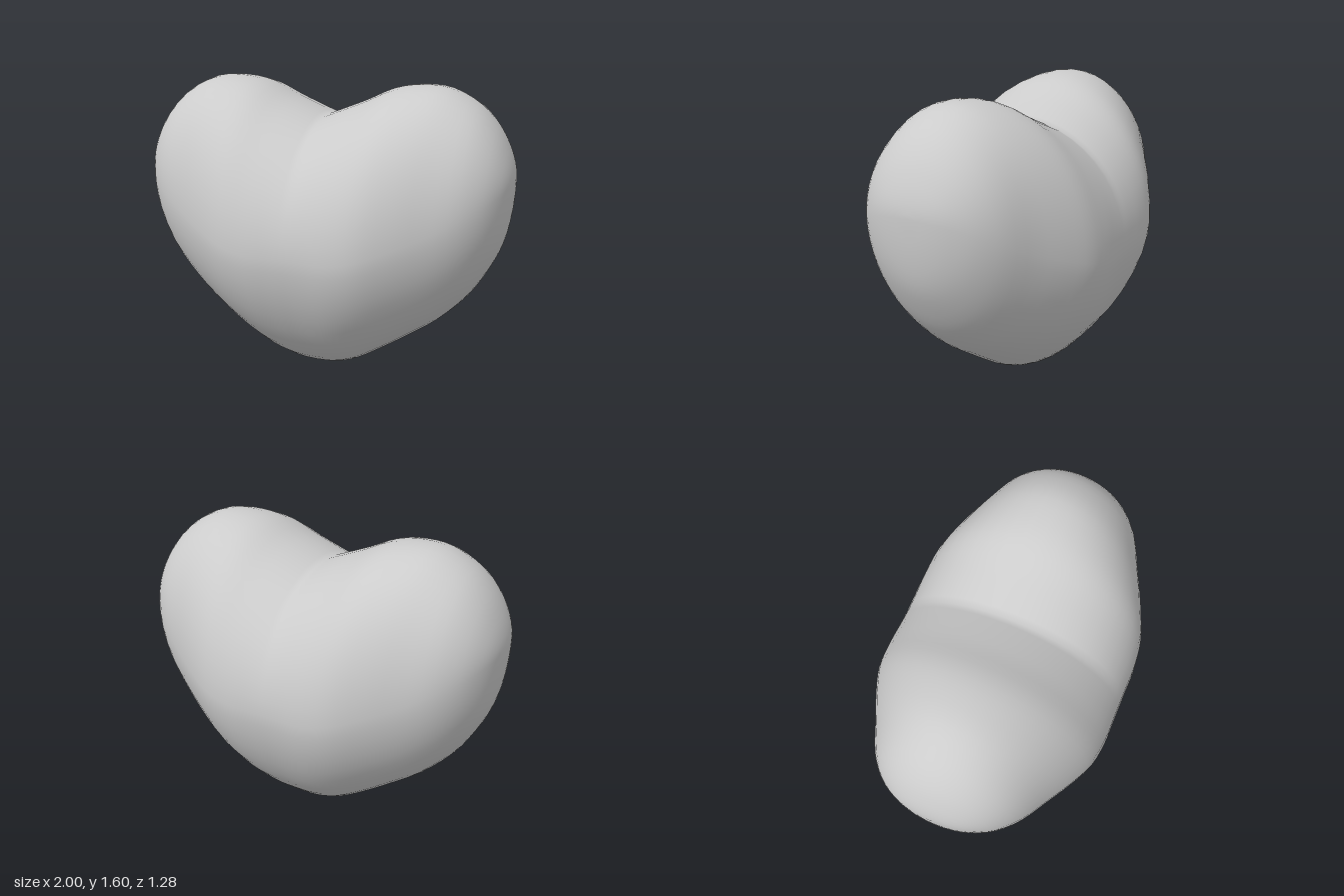
import * as THREE from 'three';
import { mergeVertices } from 'three/addons/utils/BufferGeometryUtils.js';

// Half of the heart, from the middle outwards: [x, bottom, top, half depth, height of greatest depth]
const STATIONS = [
  [0, 0, 1.42, 0.64, 0.8],
  [0.1, 0.012, 1.46, 0.64, 0.8],
  [0.22, 0.06, 1.51, 0.64, 0.8],
  [0.36, 0.15, 1.575, 0.62, 0.83],
  [0.5, 0.245, 1.6, 0.56, 0.88],
  [0.65, 0.355, 1.59, 0.48, 0.94],
  [0.8, 0.51, 1.515, 0.4, 1.02],
  [0.9, 0.67, 1.41, 0.31, 1.07],
  [0.96, 0.81, 1.3, 0.21, 1.11],
  [0.99, 0.97, 1.21, 0.11, 1.13],
  [1, 1.14, 1.14, 0, 1.14],
];
const HALF = 30; // slices per half
const SIDES = 48; // points around each slice

// Smooth curve through two columns of the stations, along x
const curveOf = (a, b) => new THREE.CatmullRomCurve3(
  STATIONS.map((s) => new THREE.Vector3(s[0], s[a], s[b])), false, 'catmullrom');

function heartGeometry() {
  const outline = curveOf(1, 2);
  const depth = curveOf(3, 4);
  const positions = [];
  const indices = [];

  // Mirrored slices from the right side (-x) to the left side (+x)
  for (let i = -HALF; i <= HALF; i++) {
    const t = Math.abs(i) / HALF;
    const { x, y: bottom, z: top } = outline.getPoint(t);
    const { y: width, z: middle } = depth.getPoint(t);
    for (let j = 0; j < SIDES; j++) {
      const angle = (j / SIDES) * Math.PI * 2;
      const s = Math.sin(angle);
      const c = Math.cos(angle);
      // Round above, slightly tapered below near the tip
      const power = s < 0 ? 1 + 0.2 * (1 - x) : 1;
      const rise = Math.abs(s) ** power;
      const y = s < 0 ? middle - rise * (middle - bottom) : middle + rise * (top - middle);
      const z = Math.sign(c) * Math.abs(c) ** power * width;
      positions.push(Math.sign(i) * x, y, z);
    }
  }

  // Skin between neighbouring slices
  for (let i = 0; i < 2 * HALF; i++) {
    for (let j = 0; j < SIDES; j++) {
      const k = (j + 1) % SIDES;
      const a = i * SIDES + j;
      const b = i * SIDES + k;
      indices.push(a, a + SIDES, b + SIDES, a, b + SIDES, b);
    }
  }

  const geometry = new THREE.BufferGeometry();
  geometry.setAttribute('position', new THREE.Float32BufferAttribute(positions, 3));
  geometry.setIndex(indices);
  const merged = mergeVertices(geometry, 1e-5);
  merged.computeVertexNormals();
  return merged;
}

export function createModel() {
  const group = new THREE.Group();
  group.name = 'heartModel';
  const heart = new THREE.Mesh(heartGeometry(), new THREE.MeshStandardMaterial({ color: 0xcccccc }));
  heart.name = 'heart';
  group.add(heart);
  return group;
}
